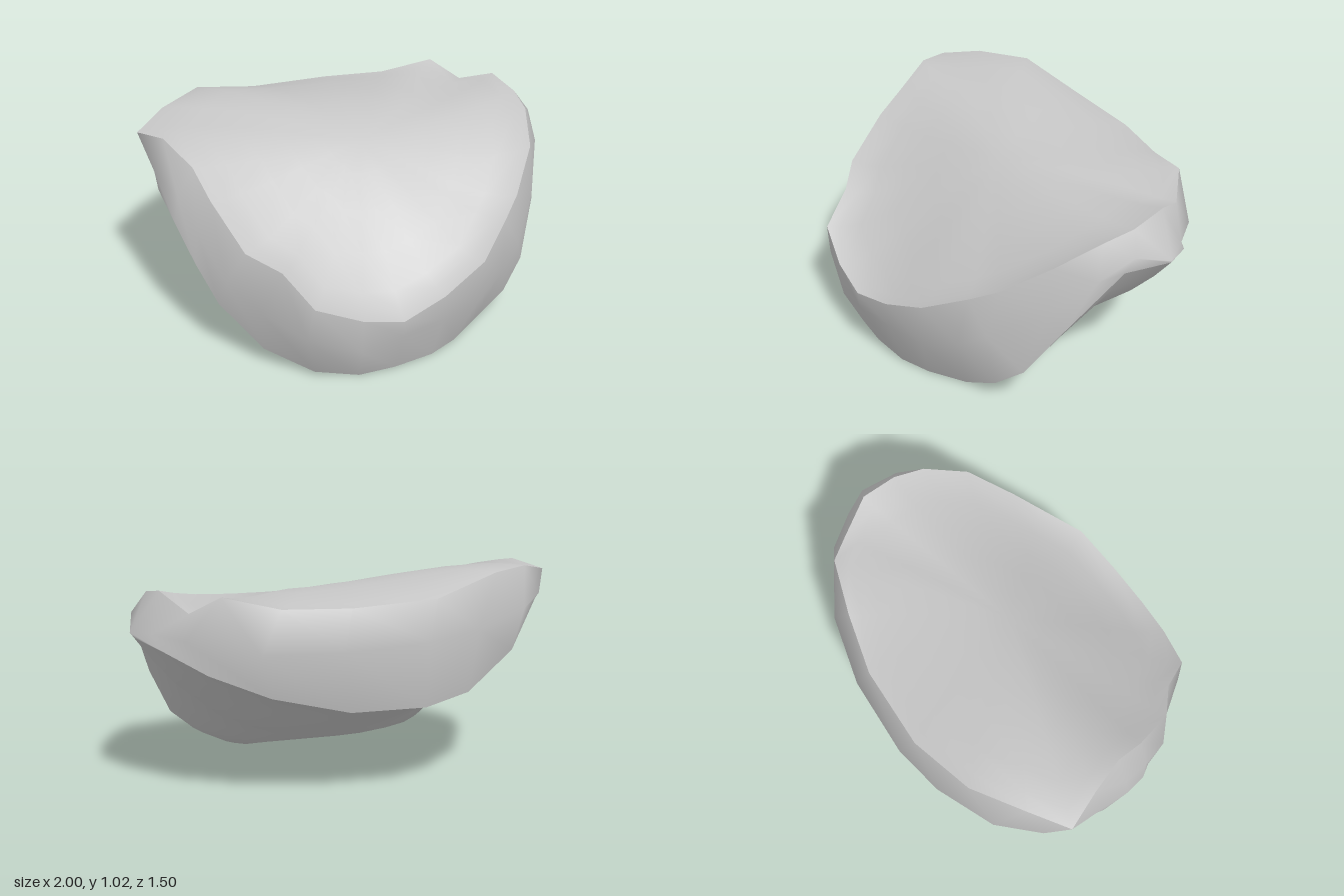
import * as THREE from 'three';
import { mergeVertices } from 'three/addons/utils/BufferGeometryUtils.js';

// Three closed outlines [x, y, z], starting at the front and running towards +x
const topRim = [
  [-0.1, 0.33, 0.745], [0.12, 0.385, 0.71], [0.35, 0.48, 0.65], [0.53, 0.58, 0.51], [0.64, 0.65, 0.42],
  [0.8, 0.8, 0.25], [0.88, 0.9, 0.05], [0.9, 0.93, -0.1], [0.87, 0.96, -0.28], [0.77, 0.88, -0.45],
  [0.65, 0.965, -0.56], [0.4, 0.91, -0.63], [0.1, 0.91, -0.69], [-0.3, 0.93, -0.68], [-0.62, 1.02, -0.59],
  [-0.84, 1.02, -0.43], [-1, 0.98, -0.3], [-0.92, 1.01, -0.13], [-0.84, 0.93, 0.05], [-0.81, 0.83, 0.2],
  [-0.73, 0.66, 0.42], [-0.6, 0.59, 0.53], [-0.51, 0.47, 0.69], [-0.3, 0.38, 0.735],
];
const girth = [
  [-0.1, 0.25, 0.74], [0.12, 0.25, 0.7], [0.33, 0.25, 0.64], [0.5, 0.33, 0.56], [0.63, 0.42, 0.48],
  [0.81, 0.57, 0.28], [0.92, 0.74, 0.1], [0.965, 0.83, -0.06], [1, 0.77, -0.24], [0.92, 0.78, -0.36],
  [0.8, 0.77, -0.51], [0.5, 0.72, -0.68], [0.15, 0.73, -0.75], [-0.25, 0.75, -0.745], [-0.5, 0.78, -0.69],
  [-0.78, 0.84, -0.565], [-0.935, 0.88, -0.4], [-0.975, 0.85, -0.12], [-0.92, 0.8, 0.05], [-0.88, 0.68, 0.2],
  [-0.81, 0.5, 0.37], [-0.69, 0.37, 0.48], [-0.54, 0.3, 0.67], [-0.3, 0.2, 0.725],
];
const lowerRim = [
  [-0.1, 0.01, 0.65], [0.1, 0.01, 0.63], [0.25, 0.01, 0.57], [0.42, 0.01, 0.46], [0.6, 0.11, 0.42],
  [0.73, 0.23, 0.35], [0.85, 0.48, 0.22], [0.95, 0.76, -0.02], [0.985, 0.75, -0.25], [0.9, 0.72, -0.4],
  [0.71, 0.62, -0.55], [0.45, 0.52, -0.64], [0.1, 0.44, -0.68], [-0.25, 0.44, -0.69], [-0.48, 0.48, -0.63],
  [-0.74, 0.64, -0.53], [-0.92, 0.85, -0.39], [-0.97, 0.77, -0.1], [-0.945, 0.67, 0.06], [-0.9, 0.52, 0.19],
  [-0.83, 0.34, 0.29], [-0.66, 0.11, 0.4], [-0.47, 0.03, 0.56], [-0.28, 0.01, 0.64],
];

// Top: a ramp from the front that levels off towards the back and leans up at the model's right
const topHeight = (x, z) => 0.99 - 0.36 * (z + 0.1 + Math.hypot(z + 0.1, 0.2)) - 0.12 * x * (0.5 - z);
// Underside: a plane rising to the back
const underHeight = (x, z) => Math.max(0.005, 0.02 + (0.36 - z) * 0.4);

// Shrink a rim towards the middle, easing its height into a surface rule
const inset = (rim, s, height, power) => rim.map(([x, y, z]) => {
  const px = x * s, pz = z * s;
  return [px, THREE.MathUtils.lerp(height(px, pz), y, s ** power), pz];
});

// Smooth skin over successive rings, upper or inner ring first
function loft(rings) {
  const n = rings[0].length, index = [];
  for (let r = 0; r < rings.length - 1; r++) {
    for (let i = 0; i < n; i++) {
      const j = (i + 1) % n, a = r * n, b = a + n;
      index.push(a + i, b + i, b + j, a + i, b + j, a + j);
    }
  }
  const geometry = new THREE.BufferGeometry();
  geometry.setAttribute('position', new THREE.Float32BufferAttribute(rings.flat(2), 3));
  geometry.setIndex(index);
  const merged = mergeVertices(geometry, 1e-4);
  merged.computeVertexNormals();
  return merged;
}

export function createModel() {
  const stone = new THREE.MeshStandardMaterial({ color: 0xc6c6c6 });
  stone.name = 'grey stone';
  const group = new THREE.Group();
  group.name = 'rock';
  const add = (name, rings) => {
    const mesh = new THREE.Mesh(loft(rings), stone);
    mesh.name = name;
    group.add(mesh);
  };

  const steps = [0, 0.2, 0.4, 0.6, 0.8, 0.92];
  // Sloping upper face
  add('topFace', [...steps.map((s) => inset(topRim, s, topHeight, 3)), topRim]);
  // Broken band around the edge
  add('sideBand', [topRim, girth, lowerRim]);
  // Bowl-shaped underside
  add('underside', [lowerRim, ...steps.slice().reverse().map((s) => inset(lowerRim, s, underHeight, 3))]);
  return group;
}
